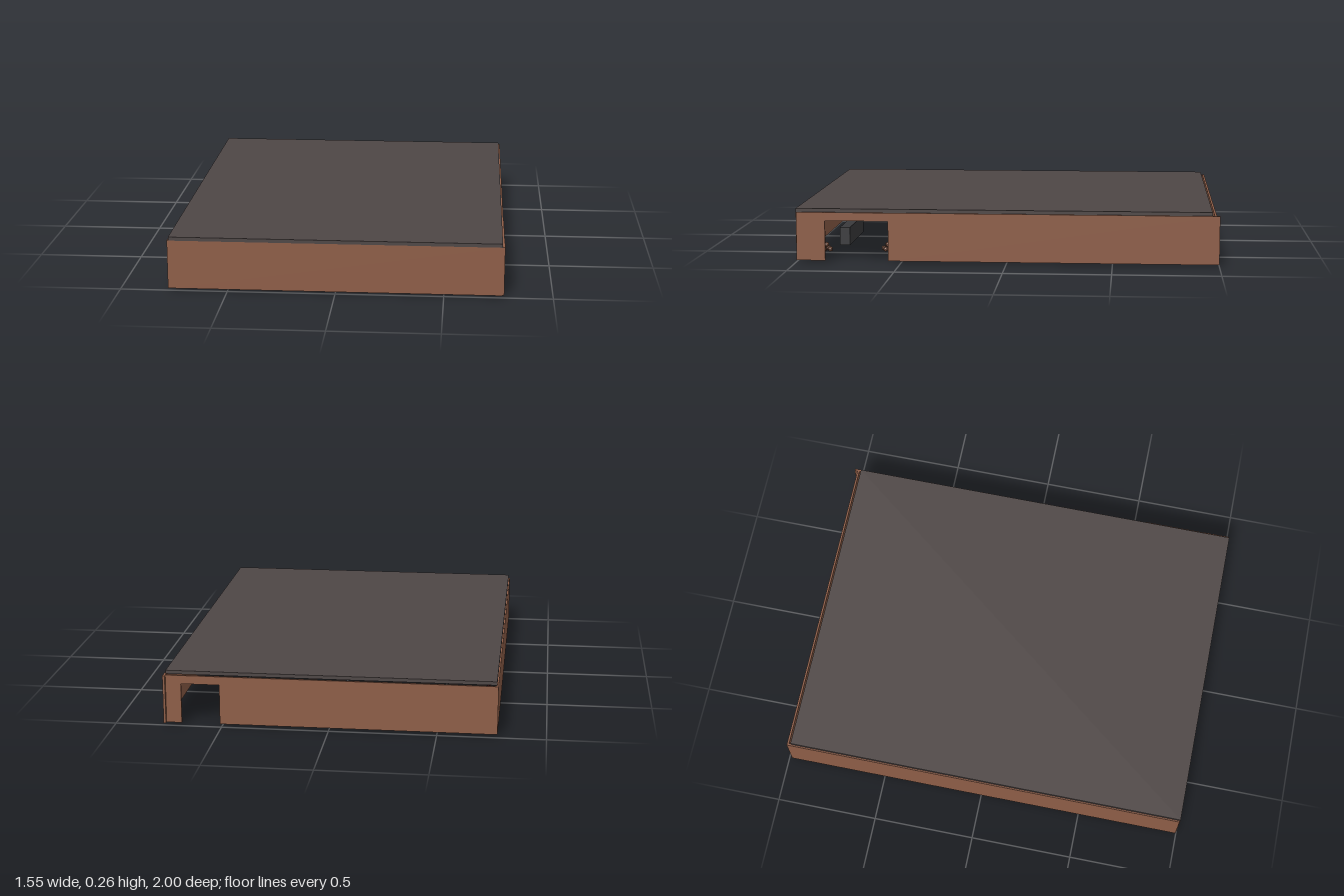
import * as THREE from 'three';

const material = (name, color) => {
  const m = new THREE.MeshStandardMaterial({ color });
  m.name = name;
  return m;
};

export function createModel() {
  const model = new THREE.Group();
  model.name = 'building';
  const brick = material('brown wall', 0x8d5d47);
  const roofGrey = material('roof grey', 0x4e4645);
  const darkMetal = material('dark metal', 0x3a3a3c);
  const darkRed = material('dark red', 0x2c0e0e);

  // Box given by its min and max corners
  const box = (name, mat, [x0, y0, z0], [x1, y1, z1], parent = model) => {
    const mesh = new THREE.Mesh(new THREE.BoxGeometry(x1 - x0, y1 - y0, z1 - z0), mat);
    mesh.position.set((x0 + x1) / 2, (y0 + y1) / 2, (z0 + z1) / 2);
    mesh.name = name;
    parent.add(mesh);
    return mesh;
  };
  const LOW = 0.01, HIGH = 0.24, DOOR = 0.2;

  // Roof slab
  box('roof', roofGrey, [-0.77, HIGH, -0.965], [0.765, 0.257, 1]);

  // Outer walls, with doorways in the left and back walls
  box('frontWall', brick, [-0.77, LOW, 0.988], [0.765, HIGH, 1]);
  box('rightWall', brick, [-0.777, LOW, -0.985], [-0.767, HIGH, 0.997]);
  box('leftWallFront', brick, [0.764, LOW, 0.86], [0.776, HIGH, 0.997]);
  box('leftWallBack', brick, [0.762, LOW, -1], [0.773, HIGH, 0.56]);
  box('leftLintel', brick, [0.764, DOOR, 0.56], [0.775, HIGH, 0.86]);
  box('backWall', brick, [-0.77, LOW, -0.985], [0.51, HIGH, -0.975]);
  box('backWallPost', brick, [0.69, LOW, -0.985], [0.765, HIGH, -0.975]);
  box('backLintel', brick, [0.51, DOOR, -0.985], [0.69, HIGH, -0.975]);

  // Inner partition and free-standing door frame
  box('partition', brick, [-0.3, LOW, 0.447], [0.765, HIGH, 0.462]);
  for (const x of [-0.69, -0.41])
    box('doorFramePost', darkMetal, [x - 0.006, 0, 0.45], [x + 0.006, 0.19, 0.462]);
  box('doorFrameTop', darkMetal, [-0.696, 0.18, 0.45], [-0.404, 0.192, 0.462]);

  // Counter, hollow from below
  const counter = new THREE.Group();
  counter.name = 'counter';
  model.add(counter);
  box('counterTop', darkMetal, [-0.075, 0.09, 0.815], [0.34, 0.1, 0.865], counter);
  for (const z of [0.815, 0.859])
    box('counterSide', darkMetal, [-0.075, LOW, z], [0.34, 0.09, z + 0.006], counter);
  for (const x of [-0.075, 0.334])
    box('counterEnd', darkMetal, [x, LOW, 0.821], [x + 0.006, 0.09, 0.859], counter);

  // Two boards lying on the floor, one leaning on the right wall
  box('floorBoard', darkRed, [0.3, LOW, -0.67], [0.52, 0.018, -0.52]);
  box('floorBoard', darkRed, [0.29, LOW, -0.155], [0.51, 0.018, -0.005]);
  const leaning = box('leaningBoard', darkRed, [-0.734, LOW, -0.535], [-0.726, 0.215, -0.38]);
  leaning.rotation.z = 0.29;

  // Rounded block resting on one board
  const block = new THREE.Mesh(new THREE.CylinderGeometry(0.05, 0.05, 0.14, 12, 1, false, 0, Math.PI), darkMetal);
  block.material = darkMetal;
  block.rotation.z = Math.PI / 2;
  block.scale.x = 1;
  block.position.set(0.4, 0.055, -0.08);
  block.name = 'roundedBlock';
  model.add(block);

  // Small heaps of rubble: four stones round one on top
  const stone = new THREE.IcosahedronGeometry(0.014, 0);
  const heaps = [
    [0.525, 0.9], [0.5, 0.6], [0.45, 0.57], [0.71, 0.256], [0.69, 0.13], [0.6, 0.163],
    [0.73, 0.06], [0.66, -0.08], [0, -0.056], [0, 0.095], [-0.075, 0.07],
  ];
  for (const [x, z] of heaps) {
    const heap = new THREE.Group();
    heap.name = 'rubbleHeap';
    heap.position.set(x, 0, z);
    for (let i = 0; i < 5; i++) {
      const a = i * Math.PI / 2 + 0.4, r = i < 4 ? 0.022 : 0;
      const s = new THREE.Mesh(stone, brick);
      s.name = 'stone';
      s.position.set(Math.cos(a) * r, i < 4 ? 0.024 : 0.044, Math.sin(a) * r);
      heap.add(s);
    }
    model.add(heap);
  }
  return model;
}
